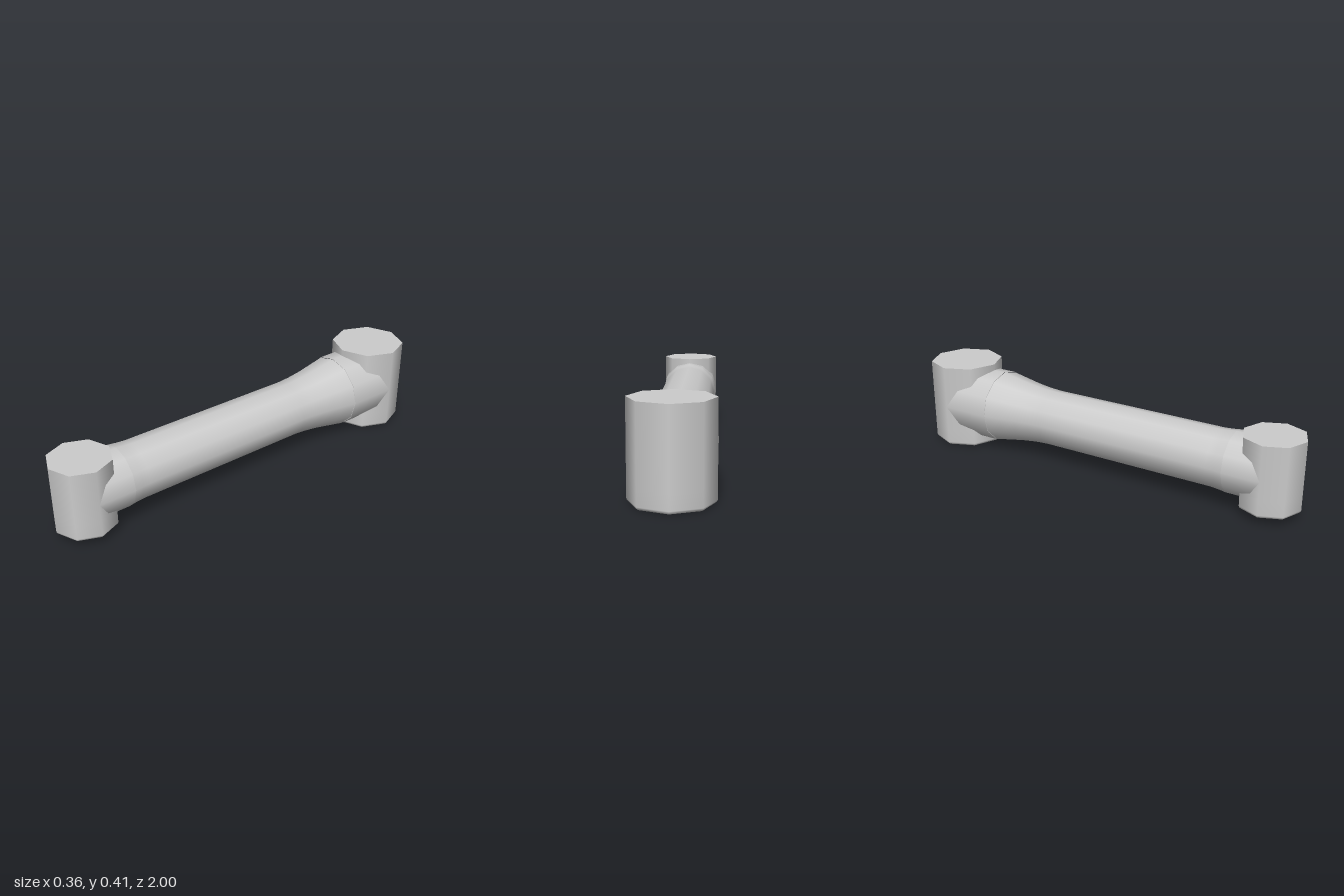
import * as THREE from 'three';

const material = new THREE.MeshStandardMaterial({ color: 0xcccccc });
const AXIS_Y = 0.207;

function part(name, geometry, parent) {
  const mesh = new THREE.Mesh(geometry, material);
  mesh.name = name;
  parent.add(mesh);
  return mesh;
}

const lathe = (points, sides) =>
  new THREE.LatheGeometry(points.map(([r, h]) => new THREE.Vector2(r, h)), sides);

// Upright joint housing: smooth eight-sided wall, rounded bottom rim, flat caps
function createJoint(name, radius, bottom, top, z) {
  const joint = new THREE.Group();
  joint.name = name;
  joint.position.z = z;
  const sides = 8, bevel = 0.014;
  const profile = [];
  for (let i = 0; i <= 3; i++) {
    const a = (i / 3) * Math.PI / 2;
    profile.push([radius - bevel + bevel * Math.sin(a), bottom + bevel * (1 - Math.cos(a))]);
  }
  profile.push([radius, bottom + 0.08], [radius, top]);
  part(name + 'Wall', lathe(profile, sides), joint);

  const topCap = part(name + 'TopCap', new THREE.CircleGeometry(radius, sides), joint);
  topCap.rotation.x = -Math.PI / 2;
  topCap.position.y = top;
  const bottomCap = part(name + 'BottomCap', new THREE.CircleGeometry(radius - bevel, sides), joint);
  bottomCap.rotation.x = Math.PI / 2;
  bottomCap.position.y = bottom;
  return joint;
}

export function createModel() {
  const link = new THREE.Group();
  link.name = 'armLink';

  link.add(createJoint('rearJoint', 0.178, 0, 0.415, -0.822));
  link.add(createJoint('frontJoint', 0.143, 0.038, 0.372, 0.857));

  // Horizontal sections as [radius, z]; both necks run into the joint centres
  const sections = {
    rearNeck: [[0.178, -0.822], [0.178, -0.58]],
    tube: [[0.176, -0.58], [0.162, -0.5], [0.148, -0.42], [0.139, -0.345],
      [0.135, -0.28], [0.135, 0.6], [0.138, 0.64], [0.143, 0.68]],
    frontNeck: [[0.143, 0.68], [0.143, 0.857]],
  };
  for (const [name, profile] of Object.entries(sections)) {
    const mesh = part(name, lathe(profile, 12), link);
    mesh.rotation.x = Math.PI / 2;
    mesh.position.y = AXIS_Y;
  }
  return link;
}
